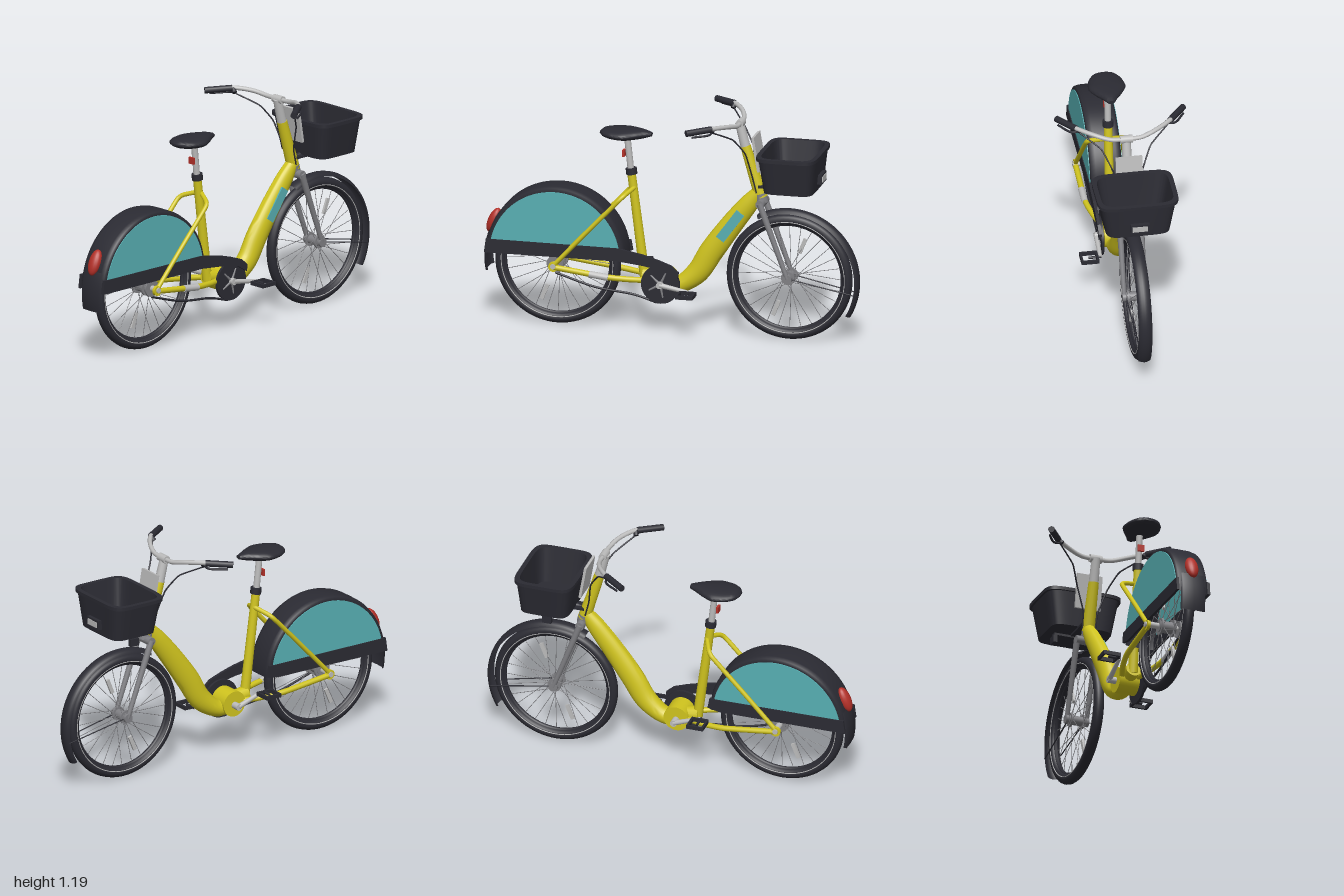
import * as THREE from 'three';
import { toCreasedNormals } from 'three/addons/utils/BufferGeometryUtils.js';

const mat = (name, color) => {
  const m = new THREE.MeshStandardMaterial({ color, side: THREE.DoubleSide });
  m.name = name;
  return m;
};
const V = (x, y, z) => new THREE.Vector3(x, y, z);

export function createModel() {
  const bike = new THREE.Group();
  bike.name = 'bicycle';
  const yellow = mat('yellow paint', 0xd0c41e), teal = mat('teal panel', 0x58b0b3);
  const dark = mat('dark plastic', 0x2b2b33), silver = mat('silver metal', 0xbcbcbc);
  const gray = mat('gray metal', 0x808084), red = mat('red lens', 0xb43028);

  const add = (name, geo, material, x = 0, y = 0, z = 0, parent = bike) => {
    const m = new THREE.Mesh(geo, material);
    m.name = name;
    m.position.set(x, y, z);
    parent.add(m);
    return m;
  };
  // straight round bar between two points
  const rod = (name, a, b, r, material, parent = bike, r2 = r, sides = 14) => {
    const d = b.clone().sub(a);
    const m = add(name, new THREE.CylinderGeometry(r2, r, d.length(), sides), material, 0, 0, 0, parent);
    m.position.copy(a).addScaledVector(d, 0.5);
    m.quaternion.setFromUnitVectors(V(0, 1, 0), d.normalize());
    return m;
  };
  const pipe = (name, pts, r, material, tension = 0.5) => add(name, new THREE.TubeGeometry(
    new THREE.CatmullRomCurve3(pts, false, 'catmullrom', tension), 32, r, 10), material);
  // cylinder lying across the bike
  const axle = (name, x, y, z, r, len, material, parent = bike) =>
    add(name, new THREE.CylinderGeometry(r, r, len, 32).rotateX(Math.PI / 2), material, x, y, z, parent);
  // arc-shaped shell around the z axis, profile given as [radius, z]
  const arc = (name, profile, from, to, material, x, y) => {
    const rad = Math.PI / 180;
    const g = new THREE.LatheGeometry(profile.map(p => new THREE.Vector2(...p)), 48,
      (from + 90) * rad, (to - from) * rad).rotateX(Math.PI / 2);
    return add(name, g, material, x, y, 0);
  };
  // skin over equally sized rings of points
  const skin = (rings) => {
    const n = rings[0].length, pos = [], idx = [];
    rings.forEach(r => r.forEach(p => pos.push(p.x, p.y, p.z)));
    for (let i = 0; i < rings.length - 1; i++) for (let j = 0; j < n; j++) {
      const a = i * n + j, b = i * n + (j + 1) % n;
      idx.push(a, b, b + n, a, b + n, a + n);
    }
    const g = new THREE.BufferGeometry();
    g.setAttribute('position', new THREE.Float32BufferAttribute(pos, 3));
    g.setIndex(idx);
    g.computeVertexNormals();
    return g;
  };
  // oval body along a path of [x, y, half height, half width]
  const oval = (stations) => {
    const path = new THREE.CatmullRomCurve3(stations.map(s => V(s[0], s[1], 0)));
    const size = new THREE.CatmullRomCurve3(stations.map(s => V(s[2], s[3], 0)));
    const rings = [], N = 32, S = 28;
    for (let i = 0; i <= N; i++) {
      const c = path.getPoint(i / N), t = path.getTangent(i / N), s = size.getPoint(i / N);
      rings.push(Array.from({ length: S }, (_, j) => {
        const a = j / S * Math.PI * 2, h = Math.cos(a) * s.x;
        return V(c.x - t.y * h, c.y + t.x * h, Math.sin(a) * s.y);
      }));
      if (i === 0) rings.unshift(Array(S).fill(c));
      if (i === N) rings.push(Array(S).fill(c));
    }
    return toCreasedNormals(skin(rings), 0.9);
  };
  const extrude = (pts, depth) => new THREE.ExtrudeGeometry(
    new THREE.Shape(pts.map(p => new THREE.Vector2(...p))), { depth, bevelEnabled: false });

  // wheels
  const AY = 0.342, RX = -0.612, FX = 0.62;
  for (const [name, x, hubR] of [['rearWheel', RX, 0.045], ['frontWheel', FX, 0.036]]) {
    const w = new THREE.Group();
    w.name = name;
    w.position.set(x, AY, 0);
    bike.add(w);
    add('tyre', new THREE.TorusGeometry(0.307, 0.028, 14, 72), dark, 0, 0, 0, w);
    add('rim', new THREE.TorusGeometry(0.284, 0.012, 8, 72), dark, 0, 0, 0, w);
    axle('hub', 0, 0, 0, hubR * 0.7, 0.09, gray, w);
    for (const s of [-1, 1]) {
      add('tyreStripe', new THREE.TorusGeometry(0.298, 0.0025, 6, 72), silver, 0, 0, s * 0.026, w);
      axle('hubFlange', 0, 0, s * 0.034, hubR, 0.012, gray, w);
    }
    for (let i = 0; i < 28; i++) {
      const a = i / 28 * Math.PI * 2, b = a + (i % 4 < 2 ? 0.5 : -0.5), z = i % 2 ? 0.03 : -0.03;
      rod('spoke', V(Math.cos(b) * 0.034, Math.sin(b) * 0.034, z),
        V(Math.cos(a) * 0.276, Math.sin(a) * 0.276, 0), 0.0017, gray, w, 0.0017, 5);
    }
    for (const a of [1.18, 1.18 + Math.PI]) {
      const m = add('spokeReflector', new THREE.BoxGeometry(0.085, 0.02, 0.012), silver,
        Math.cos(a) * 0.185, Math.sin(a) * 0.185, 0.008, w);
      m.rotation.z = a;
    }
  }

  // rear fender with teal side panels and lower skirts
  const FY = 0.385;
  arc('rearFender', [[0.335, -0.08], [0.352, -0.085], [0.364, -0.078], [0.37, -0.055], [0.371, 0],
    [0.37, 0.055], [0.364, 0.078], [0.352, 0.085], [0.335, 0.08]], 0, 180, dark, -0.61, FY);
  arc('rearMudflap', [[0.37, -0.068], [0.385, -0.06], [0.388, 0], [0.385, 0.06], [0.37, 0.068]],
    160, 192, dark, -0.606, 0.36);
  const half = [], cut = 0.2;
  for (let i = 0; i <= 40; i++) {
    const a = cut + (Math.PI - 2 * cut) * i / 40;
    half.push([-0.61 + Math.cos(a) * 0.347, FY + Math.sin(a) * 0.347]);
  }
  for (const z of [0.08, -0.088]) add('fenderSidePanel', extrude(half, 0.008), teal, 0, 0, z);
  add('skirtRight', extrude([[-0.985, 0.385], [-0.3, 0.385], [-0.235, 0.4], [-0.245, 0.455], [-0.975, 0.458]],
    0.014), dark, 0, 0, -0.093);
  add('chainGuard', extrude([[-0.985, 0.385], [-0.27, 0.385], [-0.15, 0.372], [-0.02, 0.35], [0.045, 0.31],
    [0.05, 0.345], [0.01, 0.38], [-0.06, 0.405], [-0.14, 0.428], [-0.28, 0.455], [-0.975, 0.458]],
    0.016), dark, 0, 0, 0.077);
  const tail = add('tailLight', new THREE.SphereGeometry(1, 20, 14), red, -0.955, 0.535, 0);
  tail.scale.set(0.03, 0.07, 0.035);
  tail.rotation.z = -0.4;

  // front fender and its stays
  arc('frontFender', [[0.352, -0.036], [0.365, -0.03], [0.372, -0.014], [0.374, 0], [0.372, 0.014],
    [0.365, 0.03], [0.352, 0.036]], -30, 117, dark, FX, AY - 0.008);
  for (const s of [-1, 1])
    rod('fenderStay', V(FX, AY, s * 0.045), V(0.972, 0.27, s * 0.034), 0.003, dark);

  // frame
  add('mainTube', oval([[0.455, 0.785, 0.035, 0.032], [0.4, 0.715, 0.05, 0.038], [0.313, 0.602, 0.058, 0.042],
    [0.205, 0.45, 0.063, 0.046], [0.125, 0.325, 0.058, 0.048], [0.02, 0.255, 0.045, 0.048],
    [-0.05, 0.27, 0.05, 0.045]]), yellow);
  const badge = add('tubePanel', new THREE.BoxGeometry(0.185, 0.05, 0.009), teal, 0.313, 0.602, 0.04);
  badge.rotation.z = 0.94;
  axle('motorHousing', -0.05, 0.277, 0, 0.068, 0.11, yellow);
  rod('seatTube', V(-0.15, 0.28, 0), V(-0.222, 0.84, 0), 0.026, yellow, bike, 0.022);
  rod('seatTubeLug', V(-0.16, 0.3, 0), V(-0.04, 0.28, 0), 0.04, yellow);
  rod('headTube', V(0.468, 0.76, 0), V(0.385, 1.03, 0), 0.034, yellow, bike, 0.027);
  for (const s of [-1, 1]) {
    pipe('seatStay', [V(-0.205, 0.765, s * 0.01), V(-0.24, 0.74, s * 0.085), V(-0.265, 0.715, s * 0.106),
      V(-0.44, 0.53, s * 0.106), V(-0.615, 0.34, s * 0.106)], 0.012, yellow, 0.2);
    pipe('chainStay', [V(-0.615, 0.335, s * 0.106), V(-0.33, 0.3, s * 0.102), V(-0.2, 0.288, s * 0.075),
      V(-0.09, 0.28, s * 0.035)], 0.015, yellow, 0.3);
    axle('dropout', RX, 0.337, s * 0.106, 0.026, 0.016, yellow);
    axle('axleNut', RX, 0.34, s * 0.116, 0.014, 0.012, silver);
  }
  axle('rearAxle', RX, AY, 0, 0.016, 0.21, silver);
  rod('stayPlate', V(-0.42, 0.311, 0.106), V(-0.32, 0.298, 0.104), 0.0175, silver);

  // saddle and post
  rod('seatPost', V(-0.222, 0.83, 0), V(-0.245, 1.04, 0), 0.017, silver);
  rod('seatClamp', V(-0.22, 0.835, 0), V(-0.224, 0.868, 0), 0.029, dark);
  add('saddle', oval([[-0.385, 1.055, 0.006, 0.025], [-0.365, 1.055, 0.02, 0.06], [-0.32, 1.053, 0.028, 0.088],
    [-0.26, 1.052, 0.031, 0.098], [-0.2, 1.054, 0.028, 0.072], [-0.15, 1.056, 0.021, 0.038],
    [-0.113, 1.056, 0.01, 0.018]]), dark);
  add('seatReflector', new THREE.BoxGeometry(0.012, 0.035, 0.035), red, -0.262, 0.945, 0);

  // fork
  rod('steererFoot', V(0.475, 0.73, 0), V(0.462, 0.78, 0), 0.034, gray);
  rod('forkCrown', V(0.475, 0.733, -0.062), V(0.475, 0.733, 0.062), 0.023, gray);
  for (const s of [-1, 1]) {
    rod('forkLeg', V(0.473, 0.74, s * 0.056), V(FX, AY, s * 0.054), 0.017, gray, bike, 0.012);
    axle('forkEnd', FX, AY, s * 0.056, 0.024, 0.016, gray);
  }

  // stem, handlebar, grips, levers and cables
  rod('stem', V(0.387, 1.02, 0), V(0.352, 1.155, 0), 0.026, silver, bike, 0.023);
  rod('stemClamp', V(0.36, 1.152, -0.033), V(0.36, 1.152, 0.033), 0.021, silver);
  for (const s of [-1, 1]) {
    pipe('handlebar', [V(0.36, 1.152, 0), V(0.358, 1.155, s * 0.08), V(0.33, 1.172, s * 0.16),
      V(0.27, 1.182, s * 0.243), V(0.2, 1.178, s * 0.295)], 0.012, silver);
    rod('grip', V(0.265, 1.18, s * 0.247), V(0.15, 1.173, s * 0.332), 0.017, dark);
    rod('brakeMount', V(0.27, 1.18, s * 0.243), V(0.262, 1.16, s * 0.225), 0.013, dark);
    pipe('brakeLever', [V(0.265, 1.163, s * 0.225), V(0.255, 1.155, s * 0.275), V(0.18, 1.153, s * 0.328)],
      0.006, dark);
    pipe('brakeCable', [V(0.27, 1.155, s * 0.23), V(0.35, 1.095, s * 0.13), V(0.405, 1.01, s * 0.085),
      V(0.43, 0.88, s * 0.04), V(0.452, 0.79, s * 0.036)], 0.004, dark, 0.2);
  }

  // backing plate and basket
  const plate = add('infoPlate', new THREE.BoxGeometry(0.014, 0.185, 0.14), silver, 0.455, 1.003, 0);
  plate.rotation.z = 0.17;
  const basketRing = (y, x0, x1, hz, S = 64) => Array.from({ length: S }, (_, j) => {
    const a = (j + 0.5) / S * Math.PI * 2, p = v => Math.sign(v) * Math.abs(v) ** 0.34;
    return V((x0 + x1) / 2 + p(Math.sin(a)) * (x1 - x0) / 2, y, p(Math.cos(a)) * hz);
  });
  add('basket', toCreasedNormals(skin([
    [0.826, 0.64, 0.64, 0], [0.826, 0.51, 0.775, 0.168], [1.006, 0.486, 0.792, 0.2], [1.006, 0.476, 0.8, 0.212],
    [1.024, 0.476, 0.8, 0.212], [1.024, 0.5, 0.776, 0.188], [0.838, 0.522, 0.763, 0.156],
    [0.838, 0.64, 0.64, 0]].map(r => basketRing(...r))), 0.6), dark);
  add('lampHousing', new THREE.BoxGeometry(0.035, 0.05, 0.1), dark, 0.786, 0.888, 0);
  add('lampLens', new THREE.BoxGeometry(0.008, 0.03, 0.08), silver, 0.803, 0.888, 0);
  rod('basketArm', V(0.44, 0.8, 0), V(0.53, 0.828, 0), 0.016, dark);
  add('basketBracket', new THREE.BoxGeometry(0.2, 0.012, 0.07), dark, 0.56, 0.822, 0);
  add('sideArm', new THREE.BoxGeometry(0.03, 0.012, 0.13), dark, 0.63, 0.816, -0.06);
  add('sideLamp', new THREE.BoxGeometry(0.05, 0.04, 0.022), dark, 0.63, 0.785, -0.122);

  // chainring, chain, cranks and pedals
  const CX = -0.05, CY = 0.272;
  axle('chainring', CX, CY, 0.07, 0.103, 0.014, dark);
  axle('crankAxle', CX, CY, 0, 0.018, 0.2, silver);
  for (let i = 0; i < 5; i++) {
    const a = -0.12 + i * Math.PI * 0.4;
    rod('spiderArm', V(CX, CY, 0.077), V(CX + Math.cos(a) * 0.07, CY + Math.sin(a) * 0.07, 0.077),
      0.008, gray, bike, 0.004);
  }
  pipe('chain', [V(RX, 0.295, 0.065), V(-0.4, 0.232, 0.065), V(-0.2, 0.207, 0.065), V(-0.07, 0.172, 0.068)],
    0.006, dark);
  axle('rearSprocket', RX, AY, 0.065, 0.045, 0.01, gray);
  const pedal = [[-0.046, -0.047], [0.046, -0.047], [0.046, 0.047], [-0.046, 0.047]];
  for (const [s, x, y] of [[1, 0.105, 0.245], [-1, -0.2, 0.328]]) {
    rod('crank', V(CX, CY, s * 0.09), V(x, y, s * 0.094), 0.014, silver, bike, 0.01);
    const shape = new THREE.Shape(pedal.map(p => new THREE.Vector2(...p)));
    shape.holes.push(new THREE.Path(pedal.map(p => new THREE.Vector2(p[0] * 0.75, p[1] * 0.75))));
    const g = new THREE.ExtrudeGeometry(shape, { depth: 0.02, bevelEnabled: false });
    add('pedal', g.rotateX(Math.PI / 2), dark, x, y + 0.01, s * 0.152);
    rod('pedalAxle', V(x, y, s * 0.09), V(x, y, s * 0.155), 0.007, dark);
  }
  return bike;
}
